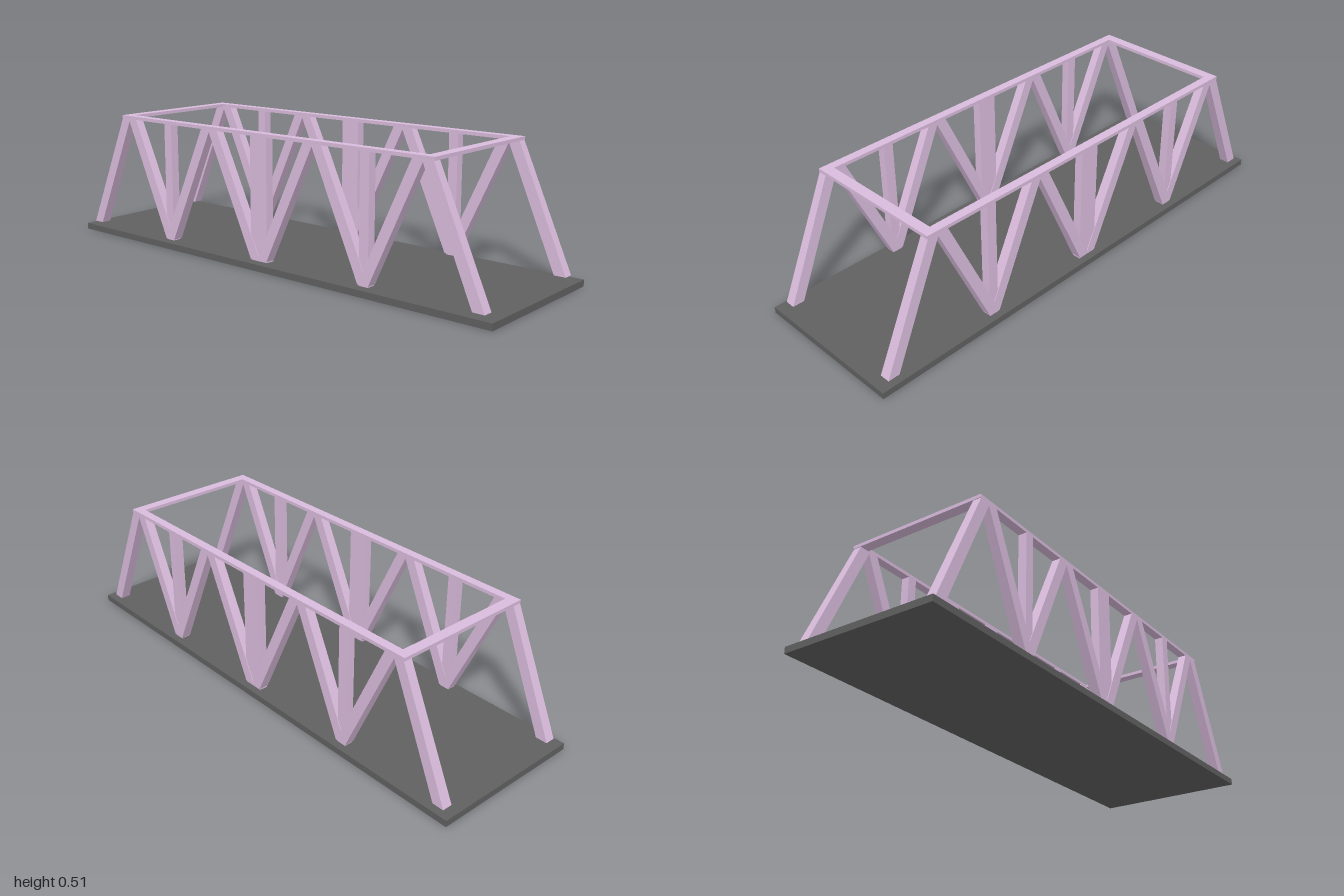
import * as THREE from 'three';

const steel = new THREE.MeshStandardMaterial({ color: 0xd9bbdc, flatShading: true });
const asphalt = new THREE.MeshStandardMaterial({ color: 0x606060, flatShading: true });

const TOP = 0.498;   // underside of the top chords
const SIDE = 0.267;  // x of each truss plane

function box(name, material, size, pos) {
  const mesh = new THREE.Mesh(new THREE.BoxGeometry(...size), material);
  mesh.name = name;
  mesh.position.set(...pos);
  return mesh;
}

// Slanted bar with level ends, a little thicker at its foot
function diagonal(zFoot, zHead) {
  const geometry = new THREE.BoxGeometry(1, 1, 1);
  const p = geometry.attributes.position;
  for (let i = 0; i < p.count; i++) {
    const head = p.getY(i) > 0;
    p.setXYZ(i,
      p.getX(i) * (head ? 0.034 : 0.04),
      head ? TOP : 0.037,
      p.getZ(i) * 0.046 + (head ? zHead : zFoot));
  }
  geometry.computeVertexNormals();
  const mesh = new THREE.Mesh(geometry, steel);
  mesh.name = 'diagonal';
  return mesh;
}

function post(z, depth) {
  return box('post', steel, [0.034, TOP - 0.032, depth], [0, (TOP + 0.032) / 2, z]);
}

function truss(name) {
  const group = new THREE.Group();
  group.name = name;
  group.add(box('topChord', steel, [0.034, 0.013, 1.526], [0, 0.5035, 0]));
  // Foot and head positions of the bars in one half
  const bars = [[0.941, 0.737], [0.486, 0.7], [0.486, 0.274], [0.017, 0.237]];
  for (const s of [1, -1]) {
    for (const [foot, head] of bars) group.add(diagonal(s * foot, s * head));
    group.add(post(s * 0.487, 0.039));
  }
  group.add(post(0, 0.08));
  return group;
}

export function createModel() {
  const model = new THREE.Group();
  model.name = 'trussBridge';
  model.add(box('deck', asphalt, [0.613, 0.025, 2], [0, 0.0125, 0]));

  const frame = new THREE.Group();
  frame.name = 'frame';
  frame.position.z = -0.004;
  for (const s of [1, -1]) {
    const side = truss(s > 0 ? 'leftTruss' : 'rightTruss');
    side.position.x = s * SIDE;
    frame.add(side);
    // Cross beam joining the two trusses at each end
    frame.add(box('crossBeam', steel, [0.5, 0.013, 0.04], [0, 0.5035, s * 0.743]));
  }
  model.add(frame);
  return model;
}
